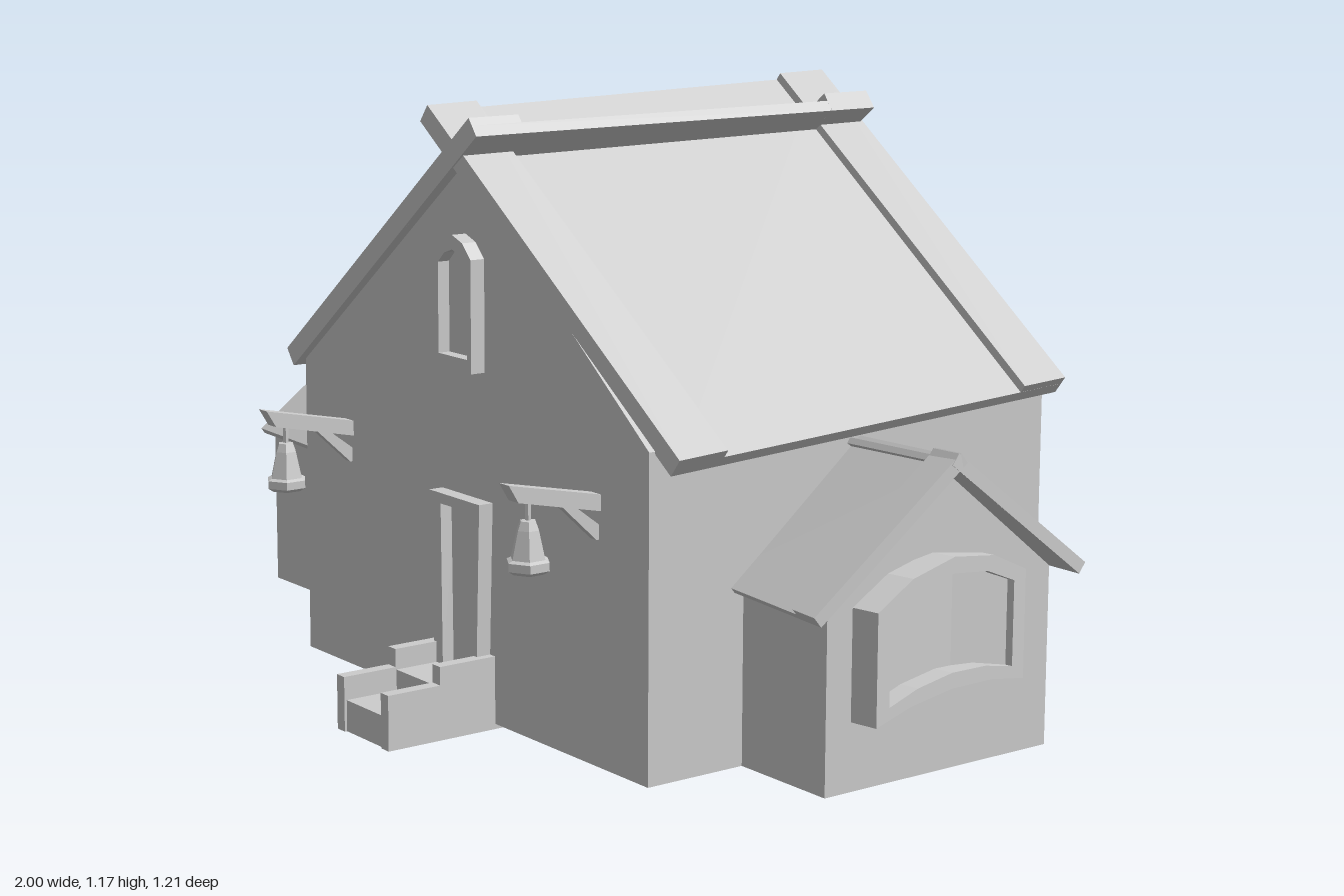
import * as THREE from 'three';

const grey = new THREE.MeshStandardMaterial({ color: 0xcccccc, flatShading: true, side: THREE.DoubleSide });

function mesh(name, geometry) {
  const m = new THREE.Mesh(geometry, grey);
  m.name = name;
  return m;
}

function box(name, x0, x1, y0, y1, z0, z1) {
  const m = mesh(name, new THREE.BoxGeometry(x1 - x0, y1 - y0, z1 - z0));
  m.position.set((x0 + x1) / 2, (y0 + y1) / 2, (z0 + z1) / 2);
  return m;
}

const toShape = pts => new THREE.Shape(pts.map(p => new THREE.Vector2(...p)));

function prism(name, shape, z0, z1) {
  const g = new THREE.ExtrudeGeometry(shape, { depth: z1 - z0, bevelEnabled: false });
  g.translate(0, 0, z0);
  return mesh(name, g);
}

// Flat slab hanging below four top corners; the winding is fixed so the top faces up
function slab(name, corners, lift, thickness) {
  let top = corners;
  const normalOf = q => new THREE.Vector3().crossVectors(
    q[1].clone().sub(q[0]), q[3].clone().sub(q[0])).normalize();
  if (normalOf(top).y < 0) top = [...top].reverse();
  const n = normalOf(top);
  const hi = top.map(p => p.clone().addScaledVector(n, lift));
  const lo = hi.map(p => p.clone().addScaledVector(n, -thickness));
  const tris = [];
  const quad = (a, b, c, d) => tris.push(a, b, c, a, c, d);
  quad(...hi);
  quad(lo[3], lo[2], lo[1], lo[0]);
  for (let i = 0; i < 4; i++) {
    const j = (i + 1) % 4;
    quad(hi[i], lo[i], lo[j], hi[j]);
  }
  const g = new THREE.BufferGeometry().setFromPoints(tris);
  g.computeVertexNormals();
  return mesh(name, g);
}

// One roof slope: thin panel plus thicker edge boards over ranges along its length
function roofSlope(name, ridge0, ridge1, eave0, eave1, thickness, step, boards) {
  const group = new THREE.Group();
  group.name = name;
  const [r0, r1, e0, e1] = [ridge0, ridge1, eave0, eave1].map(p => new THREE.Vector3(...p));
  const strip = (t0, t1) => [
    r0.clone().lerp(r1, t0), r0.clone().lerp(r1, t1),
    e0.clone().lerp(e1, t1), e0.clone().lerp(e1, t0)];
  group.add(slab('roofPanel', strip(0.005, 0.995), -step, thickness - step));
  for (const [t0, t1] of boards) group.add(slab('edgeBoard', strip(t0, t1), 0, thickness));
  return group;
}

// Outline with a shallow arched top, and optionally an arched bottom
function arch(halfWidth, bottom, side, top, bottomRise = 0) {
  const w = halfWidth, m = w * 0.55, k = 0.7;
  const pts = [[-w, bottom]];
  if (bottomRise) pts.push([-m, bottom + bottomRise * k], [0, bottom + bottomRise], [m, bottom + bottomRise * k]);
  pts.push([w, bottom], [w, side], [m, side + (top - side) * k], [0, top],
    [-m, side + (top - side) * k], [-w, side]);
  return pts;
}

// Raised frame around a recessed pane; local z points out of the wall
function framed(name, outer, inner, depth) {
  const group = new THREE.Group();
  group.name = name;
  const rim = toShape(outer);
  rim.holes.push(toShape(inner));
  group.add(prism('frame', rim, 0, depth), prism('pane', toShape(inner), 0, depth * 0.3));
  return group;
}

function place(object, x, z, turn = 0) {
  object.position.set(x, 0, z);
  object.rotation.y = turn;
  return object;
}

// Bell hanging from a rising bracket
function hangingBell(x) {
  const group = new THREE.Group();
  group.name = 'hangingBell';
  const side = (name, pts, width) => {
    const m = prism(name, toShape(pts), -width / 2, width / 2);
    m.rotation.y = -Math.PI / 2;
    return m;
  };
  group.add(side('beam', [[0.36, 0.475], [0.545, 0.515], [0.565, 0.548], [0.36, 0.505]], 0.03));
  group.add(side('brace', [[0.36, 0.425], [0.375, 0.425], [0.45, 0.495], [0.42, 0.49], [0.36, 0.445]], 0.018));
  const profile = [[0, 0.385], [0.03, 0.385], [0.041, 0.392], [0.041, 0.407], [0.033, 0.411],
    [0.021, 0.462], [0.015, 0.478], [0, 0.48]];
  const bell = mesh('bell', new THREE.LatheGeometry(profile.map(p => new THREE.Vector2(...p)), 6));
  bell.position.z = 0.515;
  const hook = mesh('hook', new THREE.CylinderGeometry(0.006, 0.006, 0.04, 6));
  hook.position.set(0, 0.495, 0.515);
  group.add(bell, hook);
  return place(group, x, 0);
}

export function createModel() {
  const house = new THREE.Group();
  house.name = 'house';

  // Main hall
  house.add(prism('mainWalls', toShape([
    [-0.44, 0.01], [0.69, 0.01], [0.69, 0.605], [0.13, 1.045], [-0.44, 0.605]]), -0.56, 0.37));
  const mainBoards = [[0, 0.115], [0.885, 1]];
  house.add(
    roofSlope('mainRoofLeft', [0.05, 1.15, 0.395], [0.05, 1.17, -0.555],
      [0.755, 0.6, 0.355], [0.72, 0.635, -0.59], 0.04, 0.017, mainBoards),
    roofSlope('mainRoofRight', [0.185, 1.137, 0.395], [0.185, 1.137, -0.555],
      [-0.495, 0.62, 0.38], [-0.49, 0.62, -0.562], 0.04, 0.017, mainBoards));

  // Side wings, gable outlines drawn in (-z, y)
  const wing = (name, pts, x0, x1) => {
    const m = prism(name, toShape(pts), x0, x1);
    m.rotation.y = Math.PI / 2;
    return m;
  };
  house.add(
    wing('leftWingWalls', [[-0.16, 0.01], [0.365, 0.01], [0.365, 0.345], [0.095, 0.56], [-0.16, 0.345]], 0.6, 0.915),
    wing('rightWingWalls', [[-0.135, 0.01], [0.38, 0.01], [0.38, 0.335], [0.12, 0.55], [-0.135, 0.34]], -0.97, -0.4));
  const endBoard = [[0.81, 1]];
  house.add(
    roofSlope('leftWingRoofFront', [0.62, 0.585, -0.1], [0.965, 0.593, -0.095],
      [0.62, 0.35, 0.19], [0.945, 0.345, 0.215], 0.024, 0.012, endBoard),
    roofSlope('leftWingRoofBack', [0.62, 0.585, -0.09], [0.965, 0.593, -0.09],
      [0.62, 0.35, -0.42], [0.965, 0.355, -0.405], 0.024, 0.012, endBoard),
    roofSlope('rightWingRoofFront', [-0.4, 0.58, -0.1], [-0.97, 0.59, -0.13],
      [-0.4, 0.355, 0.2], [-0.975, 0.36, 0.175], 0.024, 0.01, []),
    roofSlope('rightWingRoofBack', [-0.4, 0.585, -0.085], [-0.975, 0.6, -0.12],
      [-0.4, 0.345, -0.405], [-0.955, 0.345, -0.46], 0.024, 0.012, [[0.86, 1]]));

  // Windows
  house.add(
    place(framed('atticWindow', arch(0.06, 0.67, 0.88, 0.92), arch(0.047, 0.695, 0.865, 0.893), 0.035), 0.135, 0.365),
    place(framed('backWindow', arch(0.145, 0.47, 0.645, 0.705), arch(0.115, 0.5, 0.63, 0.675), 0.045), 0.135, -0.555, Math.PI),
    place(framed('leftWingWindow', arch(0.213, 0.148, 0.35, 0.41, 0.025), arch(0.178, 0.177, 0.335, 0.38, 0.025), 0.055),
      0.907, -0.08, Math.PI / 2 + 0.18));

  // Doors
  house.add(
    place(framed('frontDoor', [[-0.068, 0.03], [0.068, 0.03], [0.083, 0.43], [-0.083, 0.43]],
      [[-0.042, 0.1], [0.042, 0.1], [0.045, 0.41], [-0.045, 0.41]], 0.035), 0.135, 0.365),
    box('sideDoor', -1, -0.96, 0.01, 0.43, -0.2, -0.03));

  // Front steps between stepped side walls
  const steps = new THREE.Group();
  steps.name = 'frontSteps';
  steps.add(box('lowerStep', 0.06, 0.21, 0, 0.06, 0.35, 0.6), box('upperStep', 0.06, 0.21, 0, 0.1, 0.35, 0.49));
  for (const x of [0.047, 0.198]) {
    steps.add(box('lowSideWall', x, x + 0.025, 0, 0.105, 0.35, 0.605),
      box('highSideWall', x, x + 0.025, 0, 0.14, 0.35, 0.492));
  }
  house.add(steps);

  for (const x of [-0.277, 0.537]) house.add(hangingBell(x));
  return house;
}
